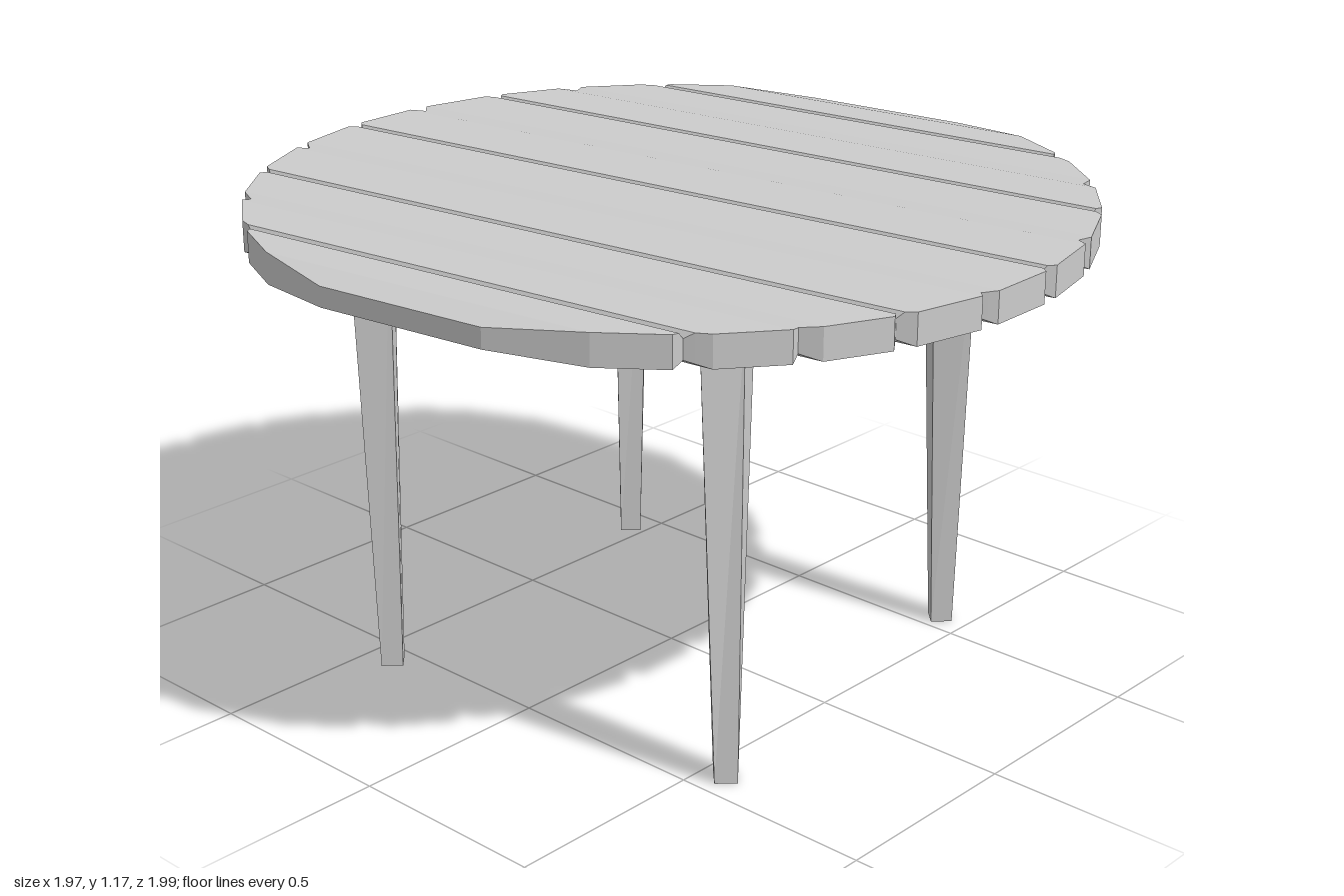
import * as THREE from 'three';

const material = new THREE.MeshStandardMaterial({ color: 0xcccccc, flatShading: true });
const TOP = 1.175, BOTTOM = 1.1, RADIUS = 0.998, TURN = 0.1244;

// Round plank top: cross-sections lofted across the planks, with a groove and rim notch at each seam
function tableTopGeometry() {
  const reach = (u, notch = 0) => Math.sqrt(RADIUS * RADIUS - u * u) - notch;
  const stations = [{ u: -0.965, half: 0.22, top: 1.16, bottom: 1.112 },
    { u: -0.895, half: reach(0.895), top: TOP, bottom: BOTTOM }];
  [-0.785, -0.62, -0.435, -0.22, 0, 0.22, 0.435, 0.62, 0.785].forEach((seam, i) => {
    const deep = i % 2 === 0;
    for (const offset of [-0.025, -0.01, 0, 0.01, 0.025]) {
      const v = 1 - Math.abs(offset) / 0.025;
      const cut = deep ? Math.max(0, 1 - Math.abs(offset) / 0.01) * 0.014 : v * 0.004;
      const u = seam + offset;
      stations.push({ u, half: reach(u, v * 0.025), top: TOP - cut, bottom: BOTTOM + v * 0.015 });
    }
  });
  stations.push({ u: 0.895, half: reach(0.895), top: TOP, bottom: BOTTOM },
    { u: 0.965, half: 0.22, top: 1.16, bottom: 1.112 });

  const positions = [], index = [];
  const quad = (a, b, c, d) => index.push(a, b, c, a, c, d);
  stations.forEach(({ u, half, top, bottom }, i) => {
    positions.push(u, top, half, u, top, -half, u, bottom, -half, u, bottom, half);
    if (i === 0) return;
    const p = (i - 1) * 4, q = i * 4;
    for (let k = 0; k < 4; k++) {
      const n = (k + 1) % 4;
      quad(p + k, q + k, q + n, p + n);
    }
  });
  const e = (stations.length - 1) * 4;
  quad(0, 1, 2, 3);
  quad(e, e + 3, e + 2, e + 1);

  const indexed = new THREE.BufferGeometry();
  indexed.setAttribute('position', new THREE.Float32BufferAttribute(positions, 3));
  indexed.setIndex(index);
  const geometry = indexed.toNonIndexed();
  geometry.computeVertexNormals();
  return geometry;
}

// Four-sided tapered leg, corner-on to the axes, from a small foot to a wider head
function legGeometry(foot, head, headSize) {
  const height = BOTTOM + 0.02;
  const geometry = new THREE.CylinderGeometry(1, 1, height, 4).toNonIndexed();
  geometry.translate(0, height / 2, 0);
  const pos = geometry.attributes.position;
  for (let i = 0; i < pos.count; i++) {
    const atHead = pos.getY(i) > height / 2;
    const [cx, cz] = atHead ? head : foot;
    const [sx, sz] = atHead ? headSize : [0.0375, 0.0375];
    pos.setX(i, cx + pos.getX(i) * sx);
    pos.setZ(i, cz + pos.getZ(i) * sz);
  }
  geometry.computeVertexNormals();
  return geometry;
}

export function createModel() {
  const group = new THREE.Group();
  group.name = 'roundTable';
  const add = (name, geometry) => {
    const mesh = new THREE.Mesh(geometry, material);
    mesh.name = name;
    group.add(mesh);
    return mesh;
  };

  add('plankTableTop', tableTopGeometry()).rotation.y = TURN;

  // Legs: foot centre, head centre, head half-widths
  const legs = [
    ['frontRightLeg', [-0.428, 0.5625], [-0.42, 0.55], [0.09, 0.05]],
    ['frontLeftLeg', [0.5575, 0.4225], [0.56, 0.402], [0.07, 0.083]],
    ['backRightLeg', [-0.5575, -0.4225], [-0.56, -0.428], [0.07, 0.064]],
    ['backLeftLeg', [0.428, -0.55], [0.43, -0.54], [0.07, 0.06]],
  ];
  for (const [name, foot, head, size] of legs) add(name, legGeometry(foot, head, size));
  return group;
}
